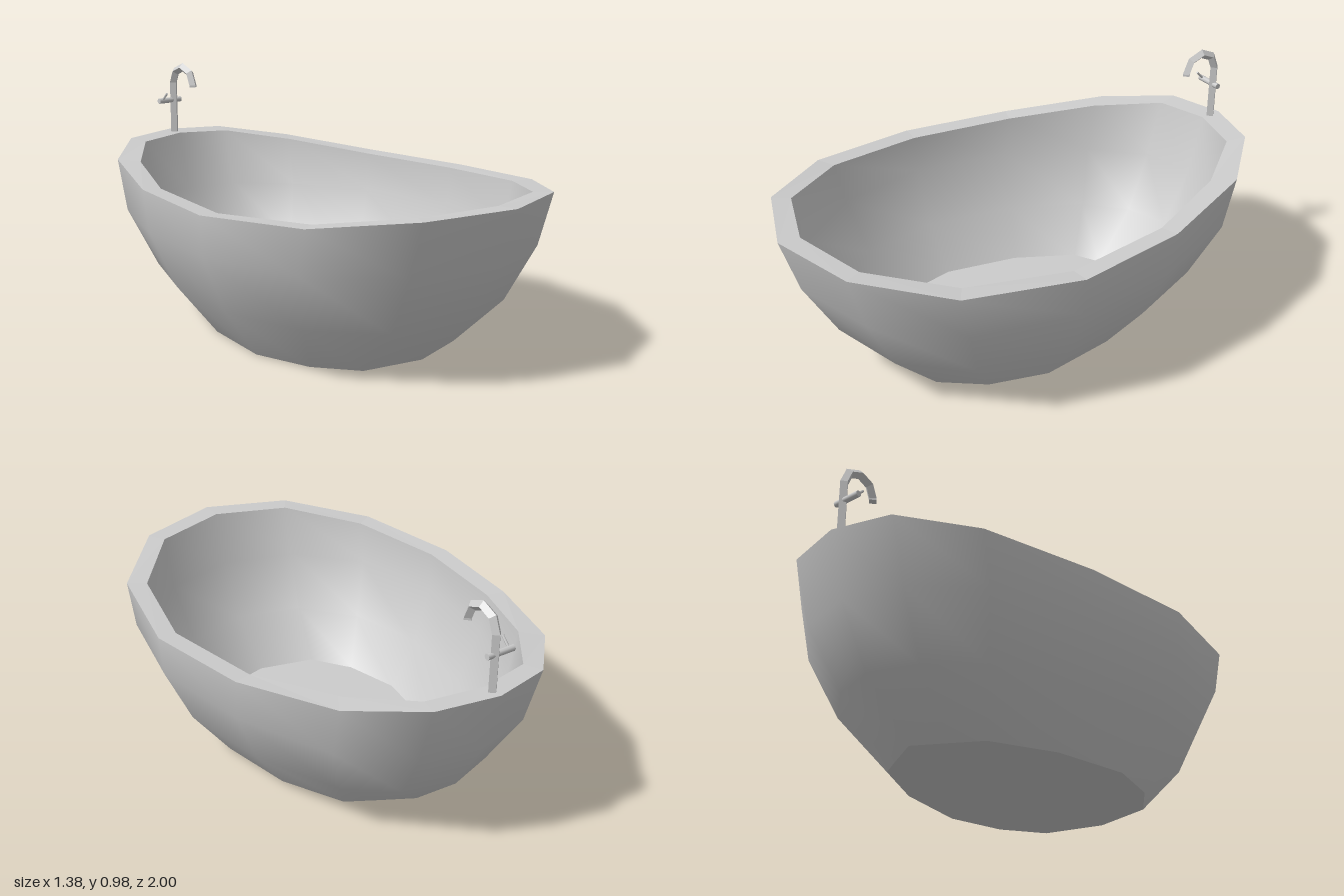
import * as THREE from 'three';

const material = new THREE.MeshStandardMaterial({ color: 0xcccccc });

// Skin a list of closed rings; flat = faceted, otherwise smooth normals.
function skin(name, rings, flat = false) {
  const n = rings[0].length;
  const index = [];
  for (let i = 0; i < rings.length - 1; i++) {
    for (let j = 0; j < n; j++) {
      const k = (j + 1) % n;
      const a = i * n + j, b = i * n + k, c = a + n, d = b + n;
      index.push(a, b, c, b, d, c);
    }
  }
  let geometry = new THREE.BufferGeometry();
  geometry.setAttribute('position', new THREE.Float32BufferAttribute(rings.flat(2), 3));
  geometry.setIndex(index);
  if (flat) geometry = geometry.toNonIndexed();
  geometry.computeVertexNormals();
  const mesh = new THREE.Mesh(geometry, material);
  mesh.name = name;
  return mesh;
}

// Half outline [x, y, z] from the back tip to the front tip, mirrored into a ring.
const mirrorRing = (half) => [...half, ...half.slice(1, -1).reverse().map(([x, y, z]) => [-x, y, z])];

// Blend two rings with separate amounts for x and z, at a level height.
const blend = (top, bottom, tx, tz, y) => top.map((p, i) => [
  THREE.MathUtils.lerp(p[0], bottom[i][0], tx), y, THREE.MathUtils.lerp(p[2], bottom[i][2], tz),
]);

const centre = (ring) => ring.map((p) => [0, p[1], 0]);

function createTub() {
  const tub = new THREE.Group();
  tub.name = 'bathtub';

  const outerRim = mirrorRing([
    [0, 0.677, -1], [0.24, 0.67, -0.945], [0.46, 0.635, -0.72], [0.62, 0.597, -0.31],
    [0.69, 0.587, 0.14], [0.6, 0.605, 0.59], [0.345, 0.64, 0.89], [0, 0.65, 1],
  ]);
  const innerRim = mirrorRing([
    [0, 0.67, -0.915], [0.22, 0.662, -0.865], [0.405, 0.63, -0.635], [0.55, 0.594, -0.29],
    [0.615, 0.584, 0.145], [0.53, 0.602, 0.55], [0.305, 0.636, 0.825], [0, 0.646, 0.915],
  ]);
  const floor = mirrorRing([
    [0, 0.02, -0.565], [0.12, 0.02, -0.495], [0.228, 0.02, -0.43], [0.343, 0.02, -0.19],
    [0.395, 0.02, 0.115], [0.34, 0.02, 0.345], [0.23, 0.02, 0.505], [0, 0.02, 0.565],
  ]);
  const base = floor.map(([x, , z]) => [x * 1.065, 0, z * 1.02]);

  // Rings between rim and bottom follow the bowl's bulge
  const wall = (rim, bottom) => [
    rim, blend(rim, bottom, 0.04, 0.165, 0.43), blend(rim, bottom, 0.43, 0.48, 0.2), bottom,
  ];

  tub.add(
    skin('outerWall', wall(outerRim, base)),
    skin('innerWall', wall(innerRim, floor).reverse()),
    skin('rim', [innerRim, outerRim], true),
    skin('tubFloor', [centre(floor), floor]),
    skin('underside', [base, centre(base)]),
  );
  return tub;
}

function createTap() {
  const tap = new THREE.Group();
  tap.name = 'tap';
  const postZ = -0.955, bend = 0.072, bendY = 0.893, r = 0.019;

  // Four-sided spout: straight post, then a half-circle hook toward the front
  const section = (y, z, angle, radius) => {
    const ty = Math.cos(angle), tz = Math.sin(angle);
    return [[radius, y, z], [0, y + tz * radius, z - ty * radius],
      [-radius, y, z], [0, y - tz * radius, z + ty * radius]];
  };
  const rings = [section(0.64, postZ, 0, 0), section(0.64, postZ, 0, r)];
  for (let i = 0; i <= 4; i++) {
    const a = (i / 4) * Math.PI;
    rings.push(section(bendY + bend * Math.sin(a), postZ + bend * (1 - Math.cos(a)), a, r));
  }
  const endZ = postZ + 2 * bend;
  rings.push(section(0.885, endZ, Math.PI, r), section(0.885, endZ, Math.PI, 0));
  tap.add(skin('spout', rings, true));

  // Cross bar through the post
  const bar = new THREE.Mesh(new THREE.CylinderGeometry(0.012, 0.012, 0.115, 8), material);
  bar.name = 'valveBar';
  bar.rotation.z = Math.PI / 2;
  bar.position.set(-0.023, 0.815, postZ);

  // Small lever leaning forward from the bar's end
  const lever = new THREE.Mesh(new THREE.CylinderGeometry(0.005, 0.005, 0.05, 6), material);
  lever.name = 'lever';
  lever.rotation.x = Math.PI / 4;
  lever.position.set(-0.062, 0.833, postZ + 0.018);

  tap.add(bar, lever);
  return tap;
}

export function createModel() {
  const model = new THREE.Group();
  model.name = 'bathtubWithTap';
  model.add(createTub(), createTap());
  return model;
}
